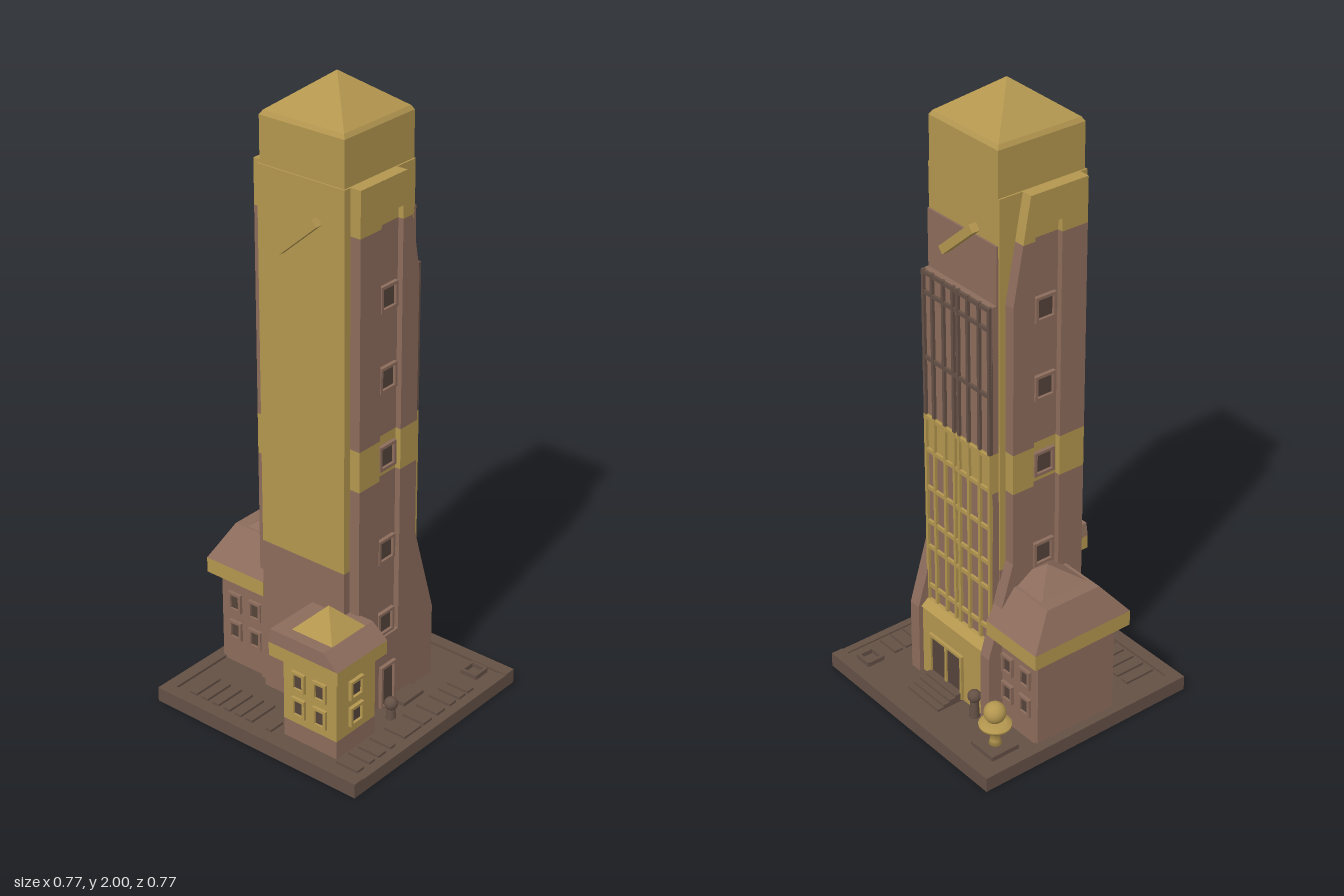
import * as THREE from 'three';

const mat = (color) => new THREE.MeshStandardMaterial({ color });
const ochre = mat(0xb3964f), brown = mat(0x8c6c5c), dark = mat(0x645045), shade = mat(0x54433a);

export function createModel() {
  const root = new THREE.Group();
  let parent = root;
  const group = (name) => {
    parent = new THREE.Group();
    parent.name = name;
    root.add(parent);
  };
  const add = (name, geometry, material) => {
    const mesh = new THREE.Mesh(geometry, material);
    mesh.name = name;
    parent.add(mesh);
    return mesh;
  };
  // box given by its limits on each axis
  const box = (name, material, x0, x1, y0, y1, z0, z1) => {
    const mesh = add(name, new THREE.BoxGeometry(x1 - x0, y1 - y0, z1 - z0), material);
    mesh.position.set((x0 + x1) / 2, (y0 + y1) / 2, (z0 + z1) / 2);
    return mesh;
  };
  // tapered block: bottom and top rectangles are [x0, x1, z0, z1]
  const taper = (name, material, bottom, top, y0, y1) => {
    const g = new THREE.BoxGeometry(1, 1, 1), p = g.attributes.position;
    for (let i = 0; i < p.count; i++) {
      const up = p.getY(i) > 0, r = up ? top : bottom;
      p.setXYZ(i, r[p.getX(i) > 0 ? 1 : 0], up ? y1 : y0, r[p.getZ(i) > 0 ? 3 : 2]);
    }
    g.computeVertexNormals();
    return add(name, g, material);
  };
  const pyramid = (name, material, x0, x1, z0, z1, y0, y1) => {
    const x = (x0 + x1) / 2, z = (z0 + z1) / 2;
    taper(name, material, [x0, x1, z0, z1], [x, x, z, z], y0, y1);
  };
  const sphere = (name, material, r, x, y, z) =>
    add(name, new THREE.SphereGeometry(r, 20, 14), material).position.set(x, y, z);
  // window frame of four bars around a pane, facing along z (dir +1 or -1)
  const windowZ = (x, y, z, w, h, dir, m) => {
    const z0 = Math.min(z, z + dir * 0.012), z1 = Math.max(z, z + dir * 0.012), t = 0.009;
    for (const s of [-1, 1]) {
      box('windowJamb', m, x + s * w / 2 - t / 2, x + s * w / 2 + t / 2, y - h / 2, y + h / 2, z0, z1);
      box('windowRail', m, x - w / 2 - t / 2, x + w / 2 + t / 2, y + s * h / 2 - t / 2, y + s * h / 2 + t / 2, z0, z1);
    }
    box('windowPane', shade, x - w / 2, x + w / 2, y - h / 2, y + h / 2, z - 0.003, z + 0.003);
  };
  // the same, facing along x
  const windowX = (x, y, z, w, h, dir, m) => {
    const x0 = Math.min(x, x + dir * 0.01), x1 = Math.max(x, x + dir * 0.01), t = 0.009;
    for (const s of [-1, 1]) {
      box('windowJamb', m, x0, x1, y - h / 2, y + h / 2, z + s * w / 2 - t / 2, z + s * w / 2 + t / 2);
      box('windowRail', m, x0, x1, y + s * h / 2 - t / 2, y + s * h / 2 + t / 2, z - w / 2 - t / 2, z + w / 2 + t / 2);
    }
    box('windowPane', shade, x - 0.003, x + 0.003, y - h / 2, y + h / 2, z - w / 2, z + w / 2);
  };

  // ground plate with raised kerb
  group('ground');
  box('plate', dark, -0.385, 0.385, 0, 0.04, -0.385, 0.385);
  for (const s of [-1, 1]) {
    const a = s < 0 ? -0.385 : 0.345, b = a + 0.04;
    box('kerbSide', dark, a, b, 0.035, 0.048, -0.385, 0.385);
    if (s < 0) box('kerbBack', dark, -0.345, 0.345, 0.035, 0.048, a, b);
  }
  box('kerbFront', dark, -0.345, 0.345, 0.035, 0.045, 0.36, 0.385);
  for (let i = 0; i < 6; i++) {
    const z = -0.285 + i * 0.0445;
    box('sidePaver', dark, -0.335, -0.23, 0.038, 0.048, z - 0.013, z + 0.013);
  }
  box('sidePaver', dark, -0.335, -0.28, 0.038, 0.048, 0.005, 0.025);
  for (const [x, w] of [[-0.315, 0.03], [-0.262, 0.025], [-0.215, 0.035], [-0.165, 0.025], [-0.07, 0.08],
    [0, 0.04], [0.065, 0.04], [0.123, 0.03], [0.17, 0.03], [0.212, 0.03]])
    box('frontPaver', dark, x - w / 2, x + w / 2, 0.038, 0.048, 0.27, 0.35);
  for (let i = 0; i < 4; i++)
    box('entranceStep', dark, 0.2, 0.3 - i * 0.022, 0.038, 0.048 + i * 0.007, -0.045, 0.105);
  box('frontStep', dark, 0.02, 0.115, 0.038, 0.052, 0.19, 0.245);
  for (const s of [-1, 1]) {
    box('planterSide', dark, 0.302 + s * 0.026 - 0.005, 0.302 + s * 0.026 + 0.005, 0.038, 0.055, 0.266, 0.324);
    box('planterEnd', dark, 0.276, 0.328, 0.038, 0.055, 0.295 + s * 0.026 - 0.005, 0.295 + s * 0.026 + 0.005);
  }

  // tower core, crown and roof
  group('tower');
  box('coreBase', brown, -0.155, 0.15, 0.04, 0.55, -0.155, 0.155);
  box('core', ochre, -0.155, 0.15, 0.55, 1.74, -0.155, 0.155);
  box('upperPanel', brown, 0.14, 0.156, 1.42, 1.6, -0.15, 0.155);
  box('crown', ochre, -0.15, 0.15, 1.74, 1.88, -0.15, 0.15);
  taper('crownBevel', ochre, [-0.15, 0.15, -0.15, 0.15], [-0.142, 0.142, -0.142, 0.142], 1.88, 1.893);
  pyramid('towerRoof', ochre, -0.142, 0.142, -0.142, 0.142, 1.893, 2);
  // plain slanted bars on both sides
  for (const s of [-1, 1]) {
    const bar = box('sideBar', ochre, -0.013, 0.013, -0.013, 0.013, -0.09, 0.09);
    bar.position.set(s * 0.167, 1.57, 0);
    bar.rotation.x = s * 0.72;
  }

  // front and back slabs, stacked in bands, with a recessed window channel
  const levels = [[0.04, 0.22, brown], [0.28, 0.22, brown], [0.58, 0.13, brown], [0.82, 0.13, ochre],
    [0.95, 0.13, brown], [1.42, 0.13, brown], [1.6, 0.096, ochre], [1.64, 0.089, ochre], [1.74, 0.07, ochre]];
  for (const s of [-1, 1]) {
    group(s > 0 ? 'frontSlab' : 'backSlab');
    const za = Math.min(s * 0.15, s * 0.19), zb = Math.max(s * 0.15, s * 0.19);
    for (let i = 0; i < levels.length - 1; i++) {
      const [y0, x0, m] = levels[i], [y1, x1] = levels[i + 1];
      if (y0 >= 0.28 && y1 <= 1.64) {
        box('slabLeft', m, -0.13, -0.04, y0, y1, za, zb);
        taper('slabRight', m, [0.055, x0, za, zb], [0.055, x1, za, zb], y0, y1);
        const c = s * 0.172;
        box('channel', m, -0.04, 0.055, y0, y1, Math.min(s * 0.15, c), Math.max(s * 0.15, c));
      } else taper('slab', m, [-0.13, x0, za, zb], [-0.13, x1, za, zb], y0, y1);
    }
    for (const y of [0.32, 0.57, 0.88, 1.13, 1.38]) windowZ(0.008, y, s * 0.172, 0.064, 0.07, s, brown);
  }
  windowZ(0, 0.11, 0.19, 0.06, 0.14, 1, brown);

  // glazed wing with a grid of mullions
  group('glazedWing');
  const bands = [[0.28, 0.82, brown, ochre], [0.82, 0.95, ochre, ochre], [0.95, 1.42, brown, dark]];
  for (const [y0, y1, wall, bars] of bands) {
    box('glazing', wall, 0.13, 0.174, y0, y1, -0.15, 0.155);
    for (const z of [-0.145, -0.1, -0.05, -0.006, 0.016, 0.06, 0.11, 0.15])
      box('mullion', bars, 0.17, 0.183, y0, y1, z - 0.005, z + 0.005);
  }
  for (const y of [0.35, 0.49, 0.58, 0.7, 0.83, 0.94, 1.14, 1.35, 1.412])
    box('transom', y < 0.95 ? ochre : dark, 0.17, 0.182, y - 0.006, y + 0.006, -0.15, 0.155);
  box('wingBase', ochre, 0.13, 0.205, 0.04, 0.28, -0.15, 0.16);
  taper('wingSill', ochre, [0.13, 0.21, -0.15, 0.16], [0.13, 0.186, -0.15, 0.16], 0.28, 0.3);
  windowX(0.205, 0.125, 0.03, 0.15, 0.15, 1, ochre);
  box('doorPost', ochre, 0.2, 0.214, 0.05, 0.2, 0.026, 0.034);

  // front annex with sloping eave and small pyramid
  group('frontAnnex');
  box('walls', ochre, -0.315, -0.14, 0.1, 0.33, 0.06, 0.26);
  box('wallBase', brown, -0.315, -0.14, 0.04, 0.1, 0.06, 0.26);
  box('eave', ochre, -0.345, -0.12, 0.32, 0.365, 0.03, 0.288);
  taper('hip', brown, [-0.345, -0.12, 0.03, 0.288], [-0.343, -0.122, 0.035, 0.235], 0.365, 0.41);
  pyramid('annexRoof', ochre, -0.305, -0.155, 0.085, 0.235, 0.41, 0.485);
  for (const y of [0.16, 0.25]) {
    windowZ(-0.232, y, 0.26, 0.05, 0.055, 1, ochre);
    for (const z of [0.12, 0.2]) windowX(-0.315, y, z, 0.04, 0.055, -1, ochre);
  }

  // rear annex with hipped roof
  group('rearAnnex');
  box('walls', brown, -0.12, 0.17, 0.04, 0.36, -0.355, -0.15);
  box('eave', ochre, -0.153, 0.205, 0.35, 0.4, -0.385, -0.16);
  taper('hip', brown, [-0.153, 0.205, -0.385, -0.16], [-0.07, 0.125, -0.34, -0.15], 0.4, 0.5);
  pyramid('annexRoof', brown, -0.06, 0.112, -0.3, -0.14, 0.5, 0.555);
  for (const y of [0.16, 0.26]) {
    for (const z of [-0.3, -0.22]) {
      windowX(0.17, y, z, 0.04, 0.055, 1, brown);
      windowX(-0.12, y, z, 0.04, 0.055, -1, brown);
    }
  }

  // ball ornament on a dish, and two small ball posts
  group('ornament');
  box('ornamentBase', dark, 0.218, 0.318, 0.038, 0.055, -0.328, -0.228);
  const dish = [[0, 0.05], [0.022, 0.05], [0.016, 0.07], [0.016, 0.1], [0.048, 0.118], [0.05, 0.128], [0.03, 0.132], [0, 0.132]];
  add('dish', new THREE.LatheGeometry(dish.map(([x, y]) => new THREE.Vector2(x, y)), 24), ochre)
    .position.set(0.267, 0, -0.278);
  sphere('ball', ochre, 0.034, 0.265, 0.163, -0.274);
  for (const [x, z, y] of [[-0.05, 0.25, 0.092], [0.226, -0.127, 0.115]]) {
    add('post', new THREE.CylinderGeometry(0.012, 0.016, y - 0.04, 14), dark).position.set(x, (y + 0.04) / 2, z);
    sphere('postBall', dark, 0.021, x, y, z);
  }
  return root;
}
